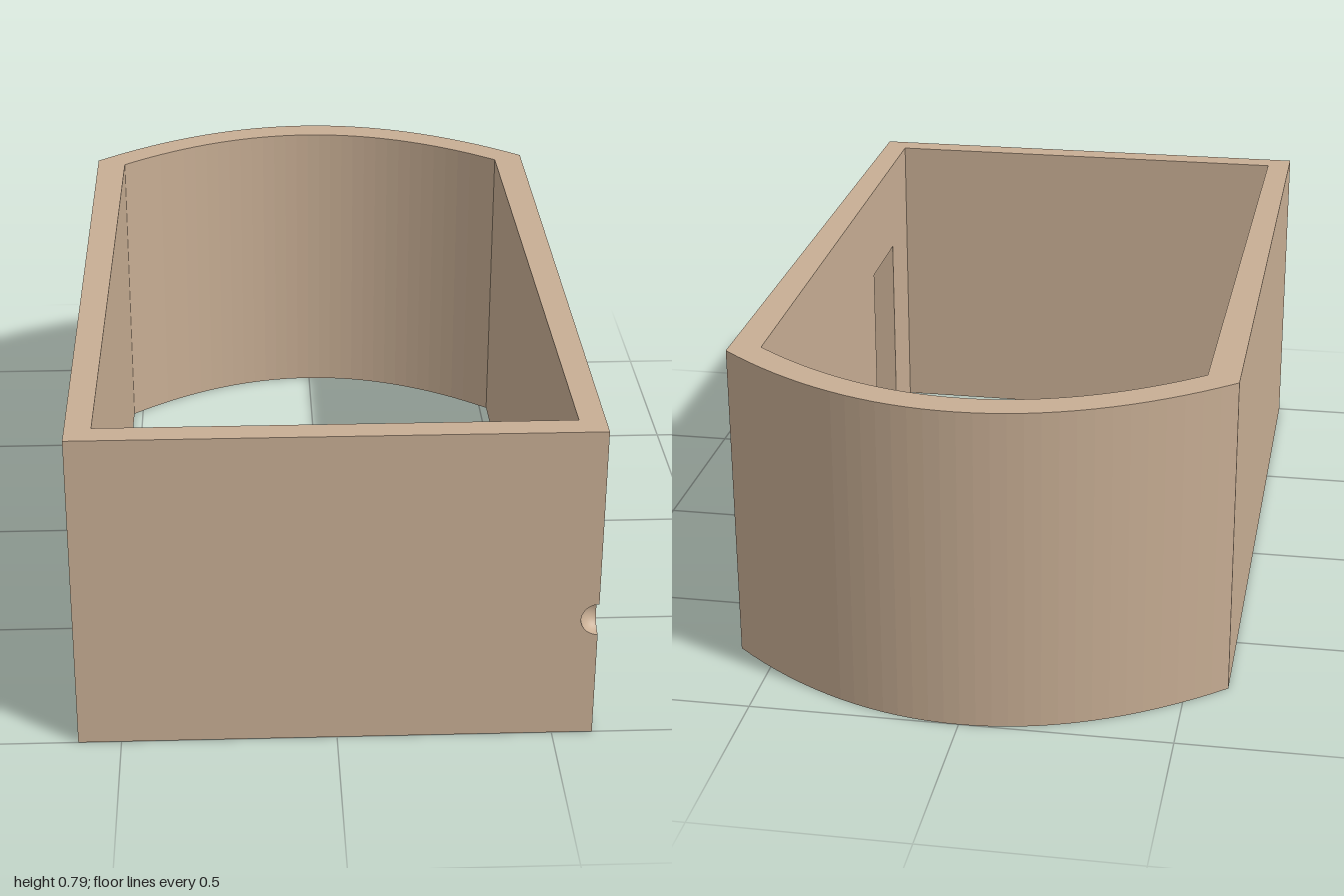
import * as THREE from 'three';
import { mergeGeometries } from 'three/addons/utils/BufferGeometryUtils.js';

const TOP = 0.785;
const DOOR = { z0: 0.49, z1: 0.74, h: 0.545 };
const NOTCH = { y: 0.305, r: 0.04 };
const SEGMENTS = 32;

// Footprint corners as (x, z)
const V = (x, z) => new THREE.Vector2(x, z);
const outer = { fl: V(-0.6, 1), fr: V(0.595, 1), br: V(0.595, -0.73), bl: V(-0.6, -0.73), apex: -1 };
const inner = { fl: V(-0.54, 0.94), fr: V(0.535, 0.94), br: V(0.52, -0.695), bl: V(-0.525, -0.695), apex: -0.92 };

// Curved back, running from the right corner to the left one
function arch({ br, bl, apex }) {
  const control = V((br.x + bl.x) / 2, 2 * apex - br.y);
  return new THREE.QuadraticBezierCurve(br, control, bl).getPoints(SEGMENTS);
}

// Upright panel from p to q; its face looks to the right of that direction.
// Optional doorway span and half-round bites at either end.
function wall(p, q, { height = TOP, door, biteStart, biteEnd } = {}) {
  const length = p.distanceTo(q);
  const { y, r } = NOTCH;
  const s = new THREE.Shape().moveTo(0, 0);
  if (door) {
    s.lineTo(door[0], 0).lineTo(door[0], DOOR.h).lineTo(door[1], DOOR.h).lineTo(door[1], 0);
  }
  s.lineTo(length, 0);
  if (biteEnd) s.absarc(length, y, r, -Math.PI / 2, -Math.PI * 1.5, true);
  s.lineTo(length, height).lineTo(0, height);
  if (biteStart) s.absarc(0, y, r, Math.PI / 2, -Math.PI / 2, true);
  s.lineTo(0, 0);
  const geometry = new THREE.ShapeGeometry(s, 16);
  const pos = geometry.attributes.position;
  for (let i = 0; i < pos.count; i++) {
    const t = pos.getX(i) / length;
    pos.setXYZ(i, p.x + (q.x - p.x) * t, pos.getY(i), p.y + (q.y - p.y) * t);
  }
  geometry.computeVertexNormals();
  return geometry;
}

// Chain of panels along a row of points
const walls = (points) => points.slice(1).map((q, i) => wall(points[i], q));

// Horizontal face looking up or down
function level(points, y, up, hole) {
  const flip = (list) => list.map((p) => V(p.x, up ? -p.y : p.y));
  const shape = new THREE.Shape(flip(points));
  if (hole) shape.holes.push(new THREE.Path(flip(hole)));
  return new THREE.ShapeGeometry(shape)
    .rotateX(up ? -Math.PI / 2 : Math.PI / 2)
    .translate(0, y, 0);
}

export function createModel() {
  const group = new THREE.Group();
  group.name = 'archedEnclosure';
  const tan = new THREE.MeshStandardMaterial({ color: 0xc8ae94, side: THREE.DoubleSide });
  tan.name = 'tan';
  const add = (name, ...geometries) => {
    const mesh = new THREE.Mesh(mergeGeometries(geometries), tan);
    mesh.name = name;
    group.add(mesh);
  };

  const outerArch = arch(outer);
  const innerArch = arch(inner);
  const { z0, z1, h } = DOOR;

  // Doorway corners, on the slanted inner face and the straight outer face
  const innerAt = (z) =>
    inner.br.clone().lerp(inner.fr, (z - inner.br.y) / (inner.fr.y - inner.br.y));
  const in0 = innerAt(z0);
  const in1 = innerAt(z1);
  const out0 = V(outer.fr.x, z0);
  const out1 = V(outer.fr.x, z1);

  // Outside faces
  add('outerFrontWall', wall(outer.fl, outer.fr, { biteEnd: true }));
  add('outerDoorWall', wall(outer.fr, outer.br, { door: [1 - z1, 1 - z0], biteStart: true }));
  add('outerBackArch', ...walls(outerArch));
  add('outerPlainWall', wall(outer.bl, outer.fl));

  // Inside faces
  add('innerFrontWall', wall(inner.fr, inner.fl));
  add('innerPlainWall', wall(inner.fl, inner.bl));
  add('innerBackArch', ...walls([...innerArch].reverse()));
  add('innerDoorWall', wall(inner.br, inner.fr, {
    door: [inner.br.distanceTo(in0), inner.br.distanceTo(in1)],
  }));

  // Rims: closed ring on top, ring open at the doorway below
  add('topRim', level([outer.fl, outer.fr, ...outerArch], TOP, true,
    [inner.fl, inner.fr, ...innerArch]));
  add('bottomRim', level([
    out0, ...outerArch, outer.fl, outer.fr, out1,
    in1, inner.fr, inner.fl, ...[...innerArch].reverse(), in0,
  ], 0, false));

  // Doorway sides and lintel
  add('doorwayLining',
    wall(in0, out0, { height: h }),
    wall(out1, in1, { height: h }),
    level([in0, out0, out1, in1], h, false));

  // Round hollow in the front corner
  add('cornerNotch',
    new THREE.SphereGeometry(NOTCH.r, 12, 32, Math.PI * 1.5, Math.PI / 2)
      .translate(outer.fr.x, NOTCH.y, outer.fr.y));

  return group;
}
